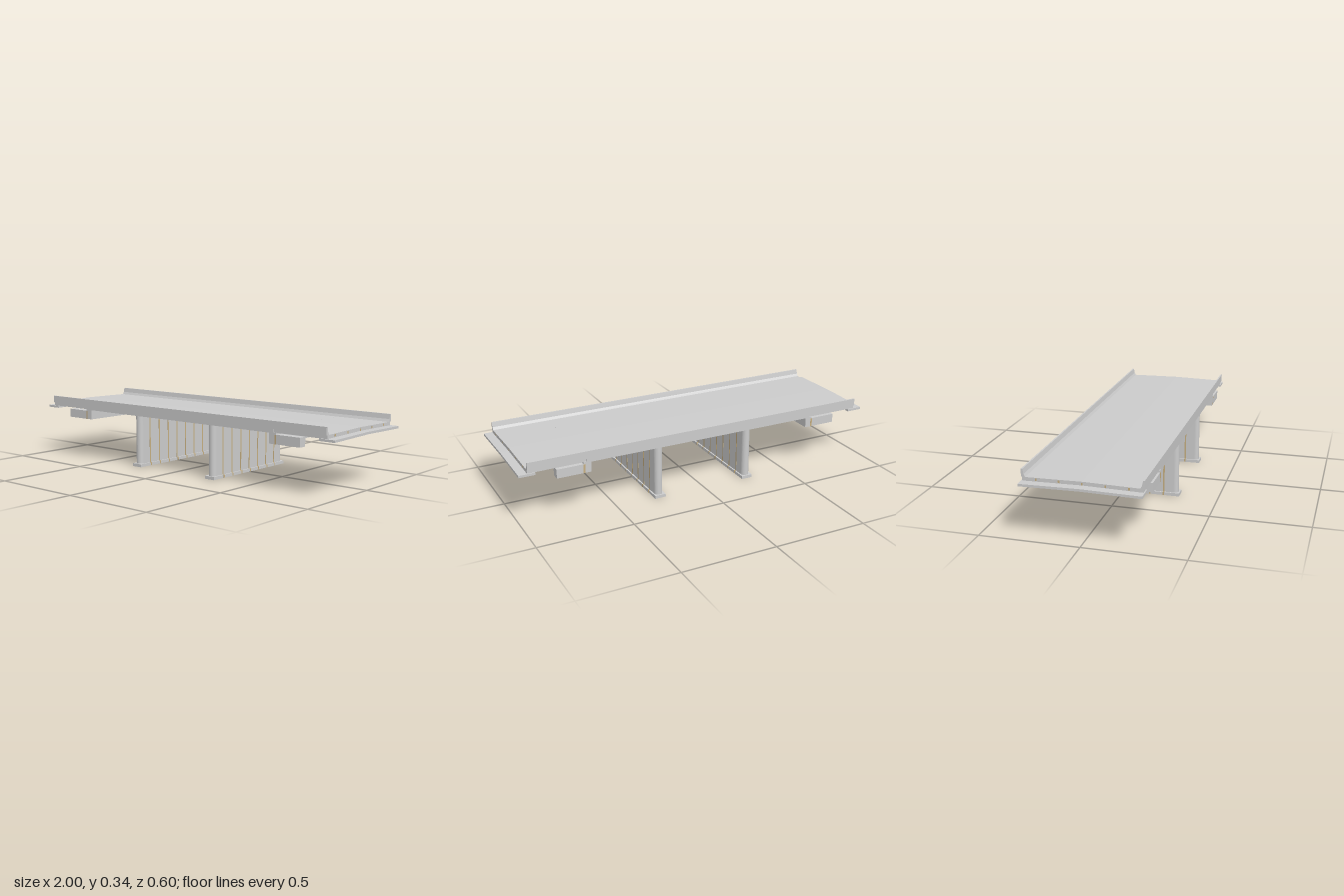
import * as THREE from 'three';

const grey = new THREE.MeshStandardMaterial({ color: 0xcccccc, flatShading: true });
const smooth = new THREE.MeshStandardMaterial({ color: 0xcccccc });
const jointMat = new THREE.MeshStandardMaterial({ color: 0xc4ad80 });

export function createModel() {
  const root = new THREE.Group();

  const add = (name, geo, mat = grey) => {
    const m = new THREE.Mesh(geo, mat);
    m.name = name;
    root.add(m);
    return m;
  };
  // Box given by its limits on each axis
  const box = (name, x0, x1, y0, y1, z0, z1, mat) =>
    add(name, new THREE.BoxGeometry(Math.abs(x1 - x0), y1 - y0, Math.abs(z1 - z0)), mat)
      .position.set((x0 + x1) / 2, (y0 + y1) / 2, (z0 + z1) / 2);
  // Cross-section of (z, y) points swept along x
  const sweep = (name, pts, x0, x1) => {
    const shape = new THREE.Shape(pts.map(([z, y]) => new THREE.Vector2(-z, y)));
    const geo = new THREE.ExtrudeGeometry(shape, { depth: x1 - x0, bevelEnabled: false });
    geo.rotateY(Math.PI / 2).translate(x0, 0, 0);
    return add(name, geo);
  };
  // Slab with a crowned top and bottom
  const crowned = (name, x0, x1, w, bottom, top, rise) =>
    sweep(name, [[-w, bottom], [0, bottom + rise], [w, bottom], [w, top], [0, top + rise], [-w, top]], x0, x1);

  // Deck: full width over the main span, slightly inset at both ends
  crowned('mainDeck', -0.655, 0.655, 0.292, 0.278, 0.298, 0.005);
  for (const s of [-1, 1]) {
    const [a, b] = s > 0 ? [0.655, 0.955] : [-0.955, -0.655];
    crowned('endDeck', a, b, 0.286, 0.28, 0.298, 0.005);
    const [c, d] = s > 0 ? [0.915, 1] : [-1, -0.915];
    crowned('approachSlab', c, d, 0.292, 0.268, 0.28, 0.005);
  }

  // Sloped barriers along both edges
  for (const s of [-1, 1]) {
    sweep('barrier', [[0.292, 0.298], [0.292, 0.337], [0.284, 0.337], [0.279, 0.312], [0.271, 0.298]]
      .map(([z, y]) => [s * z, y]), -0.955, 0.955);
  }

  // Abutments: cross wall with wing walls reaching outward
  for (const s of [-1, 1]) {
    box('abutmentWall', s * 0.63, s * 0.67, 0.225, 0.282, -0.292, 0.292);
    box('abutmentJoint', s * 0.6295, s * 0.6705, 0.2255, 0.281, -0.006, 0.006, jointMat);
    for (const t of [-1, 1]) {
      box('wingWall', s * 0.67, s * 0.81, 0.225, 0.272, t * 0.25, t * 0.292);
      box('wingJoint', s * 0.662, s * 0.672, 0.2255, 0.271, t * 0.28, t * 0.2925, jointMat);
    }
    for (let i = -2; i <= 2; i++)
      box('deckJoint', s * 0.95, s * 0.9555, 0.285, 0.297, i * 0.11 - 0.004, i * 0.11 + 0.004, jointMat);
  }

  // Wall piers with rounded ends, on strip footings
  for (const x of [-0.26, 0.26]) {
    const r = 0.022, l = 0.27;
    const plan = new THREE.Shape();
    plan.moveTo(r, -l);
    plan.lineTo(r, l);
    plan.absarc(0, l, r, 0, Math.PI);
    plan.lineTo(-r, -l);
    plan.absarc(0, -l, r, Math.PI, Math.PI * 2);
    const geo = new THREE.ExtrudeGeometry(plan, { depth: 0.272, bevelEnabled: false, curveSegments: 16 });
    geo.rotateX(-Math.PI / 2).translate(x, 0.01, 0);
    add('pier', geo, smooth);
    box('footing', x - 0.03, x + 0.03, 0, 0.016, -0.3, 0.3);

    // Vertical joints on pier and footing
    for (let i = -3; i <= 3; i++) {
      const z = i * 0.0725;
      box('pierJoint', x - r - 0.0006, x + r + 0.0006, 0.01, 0.278, z - 0.004, z + 0.004, jointMat);
      box('footingJoint', x - 0.0305, x + 0.0305, 0.0005, 0.0165, z - 0.004, z + 0.004, jointMat);
    }
  }
  return root;
}
